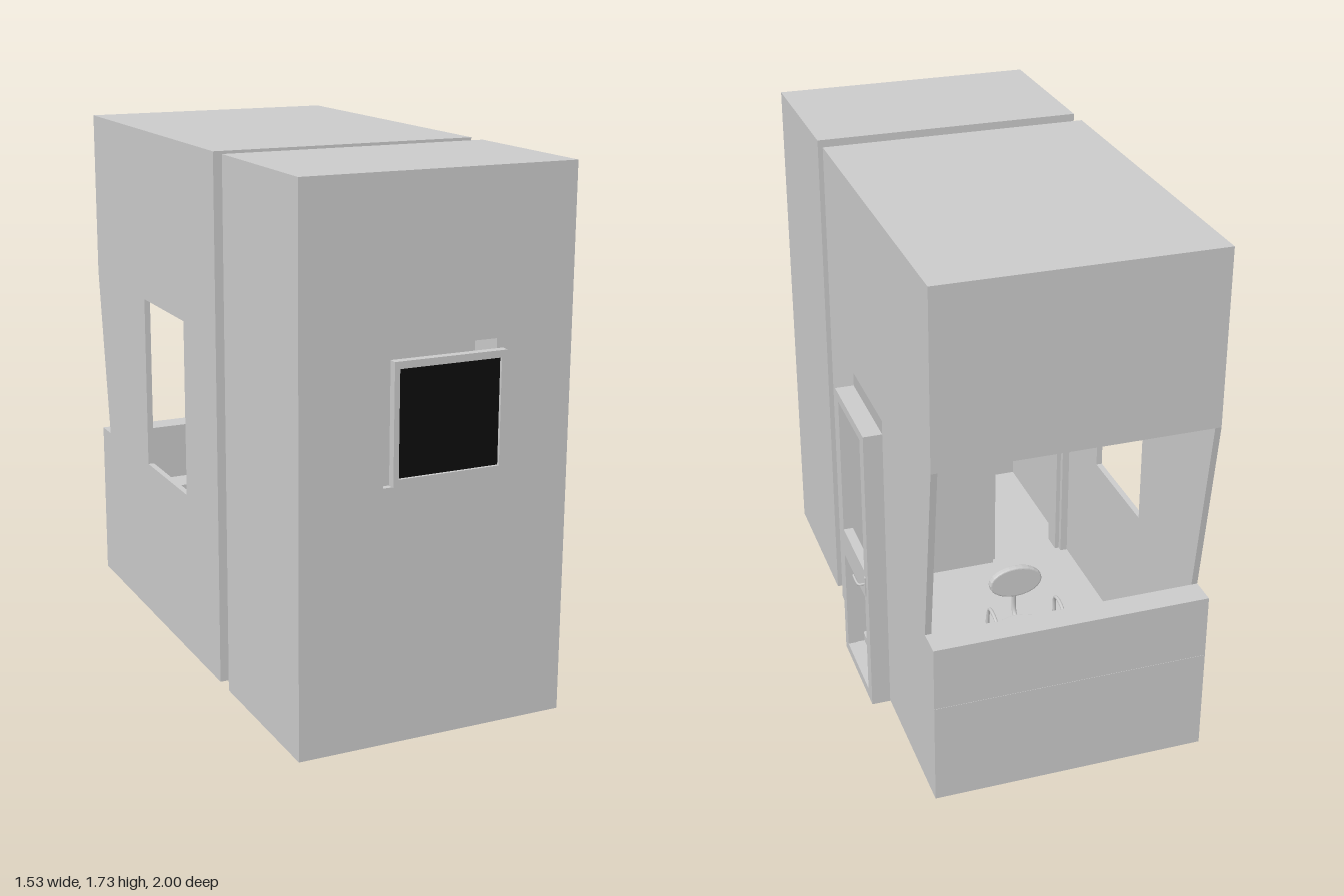
import * as THREE from 'three';

const grey = new THREE.MeshStandardMaterial({ color: 0xcccccc, side: THREE.DoubleSide });
const black = new THREE.MeshStandardMaterial({ color: 0x0c0c0c, side: THREE.DoubleSide });
const T = 0.02;      // wall thickness
const H = 1.725;     // wall height
const FLOOR = 0.045; // floor slab
const W = 0.445;     // half width of both rooms

function add(parent, name, geo, mat = grey) {
  const mesh = new THREE.Mesh(geo, mat);
  mesh.name = name;
  parent.add(mesh);
  return mesh;
}

// Box given by its limits on each axis
function box(parent, name, [x0, x1], [y0, y1], [z0, z1], mat) {
  const mesh = add(parent, name, new THREE.BoxGeometry(x1 - x0, y1 - y0, z1 - z0), mat);
  mesh.position.set((x0 + x1) / 2, (y0 + y1) / 2, (z0 + z1) / 2);
  return mesh;
}

const rect = (a0, a1, b0, b1) => [[a0, b0], [a1, b0], [a1, b1], [a0, b1]];

// Flat panel with rectangular openings
function panelGeometry(outline, holes, depth) {
  const toPoints = (list) => list.map(([a, b]) => new THREE.Vector2(a, b));
  const shape = new THREE.Shape(toPoints(outline));
  for (const h of holes) shape.holes.push(new THREE.Path(toPoints(rect(...h))));
  return new THREE.ExtrudeGeometry(shape, { depth, bevelEnabled: false });
}

// Panel across the room, filling z .. z + depth
function crossPanel(parent, name, outline, holes, z, depth = T) {
  add(parent, name, panelGeometry(outline, holes, depth)).position.z = z;
}

// Panel along the room (outline in z, y), with its outer face at x
function sidePanel(parent, name, outline, holes, x, depth = T) {
  const mesh = add(parent, name, panelGeometry(outline, holes, depth));
  mesh.rotation.y = -Math.PI / 2;
  mesh.position.x = x;
}

function tube(parent, name, pts, r, segs = 24) {
  const curve = new THREE.CatmullRomCurve3(pts.map((p) => new THREE.Vector3(...p)));
  return add(parent, name, new THREE.TubeGeometry(curve, segs, r, 8));
}

function floorAndCeiling(parent, z0, z1) {
  const x = [-W + T, W - T], z = [z0 + T, z1 - T];
  box(parent, 'floor', x, [0, FLOOR], z);
  box(parent, 'ceiling', x, [1.7, H], z);
}

function mainRoom() {
  const g = new THREE.Group();
  g.name = 'mainRoom';
  const z0 = -0.897, z1 = 0.276;
  // Side walls are notched by the inward sloping rear window
  const side = [[z0, 0], [z1, 0], [z1, H], [z0, H], [z0, 1.155], [-0.81, 0.555], [z0, 0.555]];
  sidePanel(g, 'leftWall', side, [[-0.374, -0.025, FLOOR, 1.06]], W);
  sidePanel(g, 'rightWall', side, [[-0.387, -0.007, 0.555, 1.146]], -W + T);
  const inner = [-W + T, W - T];
  crossPanel(g, 'partitionWall', rect(...inner, 0, H), [[-0.4, -0.13, FLOOR, 1]], z1 - T);
  box(g, 'upperRearWall', inner, [1.155, H], [z0, z0 + T]);
  box(g, 'lowerRearWall', inner, [0, 0.555], [z0, -0.81]);
  floorAndCeiling(g, z0, z1);
  box(g, 'desk', inner, [0.34, 0.352], [-0.81, -0.7]);
  box(g, 'deskSeam', [-W, W], [0.338, 0.342], [z0 - 0.001, z0]);
  return g;
}

function frontRoom() {
  const g = new THREE.Group();
  g.name = 'frontRoom';
  const z0 = 0.348, z1 = 0.897, inner = [-W + T, W - T];
  sidePanel(g, 'leftWall', rect(z0, z1, 0, H), [], W);
  sidePanel(g, 'rightWall', rect(z0, z1, 0, H), [], -W + T);
  crossPanel(g, 'frontWall', rect(...inner, 0, H), [[-0.177, 0.189, 0.81, 1.22]], z1 - T);
  crossPanel(g, 'rearWall', rect(...inner, 0, H), [[-0.4, -0.13, FLOOR, 1]], z0);
  floorAndCeiling(g, z0, z1);
  return g;
}

// Dark glazed window standing off the front wall
function frontWindow() {
  const g = new THREE.Group();
  g.name = 'frontWindow';
  crossPanel(g, 'windowFrame', rect(-0.177, 0.188, 0.83, 1.2), [[-0.16, 0.17, 0.853, 1.178]], 0.933, 0.027);
  box(g, 'windowPane', [-0.16, 0.17], [0.853, 1.178], [0.944, 0.95], black);
  box(g, 'windowLatch', [-0.02, 0.03], [0.84, 0.85], [0.915, 0.933]);
  return g;
}

function door() {
  const g = new THREE.Group();
  g.name = 'door';
  sidePanel(g, 'doorFrame', rect(-0.378, -0.026, 0, 1.015), [[-0.362, -0.042, 0.02, 1]], 0.476, 0.03);
  sidePanel(g, 'doorLeaf', rect(-0.378, -0.026, 0, 1.015),
    [[-0.332, -0.063, 0.033, 0.4], [-0.332, -0.063, 0.5, 0.983]], 0.508, 0.032);
  // Lever handles on both faces
  for (const [x, s] of [[0.508, 1], [0.476, -1]]) {
    box(g, 'handlePlate', [Math.min(x, x + s * 0.004), Math.max(x, x + s * 0.004)], [0.415, 0.485], [-0.352, -0.34]);
    tube(g, 'handleLever', [[x, 0.46, -0.346], [x + s * 0.022, 0.46, -0.343],
      [x + s * 0.025, 0.46, -0.33], [x + s * 0.025, 0.46, -0.285]], 0.004);
  }
  return g;
}

function chair() {
  const g = new THREE.Group();
  g.name = 'officeChair';
  g.position.set(0, FLOOR, -0.465);
  // Five legged base with castors
  for (let i = 0; i < 5; i++) {
    const leg = new THREE.Group();
    leg.name = 'chairLeg';
    leg.rotation.y = (i * Math.PI * 2) / 5;
    tube(leg, 'legArm', [[0, 0.05, 0], [0.06, 0.045, 0], [0.115, 0.028, 0]], 0.006, 10);
    const wheel = add(leg, 'castor', new THREE.CylinderGeometry(0.013, 0.013, 0.014, 14));
    wheel.rotation.x = Math.PI / 2;
    wheel.position.set(0.115, 0.013, 0);
    g.add(leg);
  }
  add(g, 'chairColumn', new THREE.CylinderGeometry(0.01, 0.014, 0.14, 16)).position.y = 0.11;
  // Rounded cushions
  const pad = (name, w, h) => {
    const s = new THREE.Shape();
    s.absellipse(0, 0, w, h, 0, Math.PI * 2);
    return add(g, name, new THREE.ExtrudeGeometry(s, { depth: 0.012, bevelSize: 0.006, bevelThickness: 0.006, bevelSegments: 3 }));
  };
  const seat = pad('chairSeat', 0.095, 0.09);
  seat.rotation.x = -Math.PI / 2;
  seat.position.y = 0.185;
  const back = pad('chairBack', 0.085, 0.05);
  back.position.set(0, 0.33, 0.1);
  tube(g, 'backSupport', [[0, 0.18, 0.03], [0, 0.2, 0.11], [0, 0.33, 0.115]], 0.008);
  // Looped armrests
  for (const s of [-1, 1]) {
    tube(g, 'armrest', [[s * 0.05, 0.182, -0.04], [s * 0.11, 0.2, -0.05], [s * 0.115, 0.28, -0.045],
      [s * 0.115, 0.29, 0.03], [s * 0.11, 0.2, 0.045], [s * 0.05, 0.182, 0.04]], 0.006, 40);
  }
  return g;
}

export function createModel() {
  const model = new THREE.Group();
  model.name = 'controlRoom';
  const body = new THREE.Group();
  body.name = 'building';
  body.rotation.y = -0.411;
  body.add(mainRoom(), frontRoom(), frontWindow(), door(), chair());
  // Doorway lining that bridges the gap between the two rooms
  const gap = [0.276, 0.348];
  box(body, 'passageFloor', [-0.4, -0.13], [0, FLOOR], gap);
  box(body, 'passageTop', [-0.4, -0.13], [0.985, 1], gap);
  box(body, 'passageRight', [-0.4, -0.385], [FLOOR, 0.985], gap);
  box(body, 'passageLeft', [-0.145, -0.13], [FLOOR, 0.985], gap);
  model.add(body);
  return model;
}
